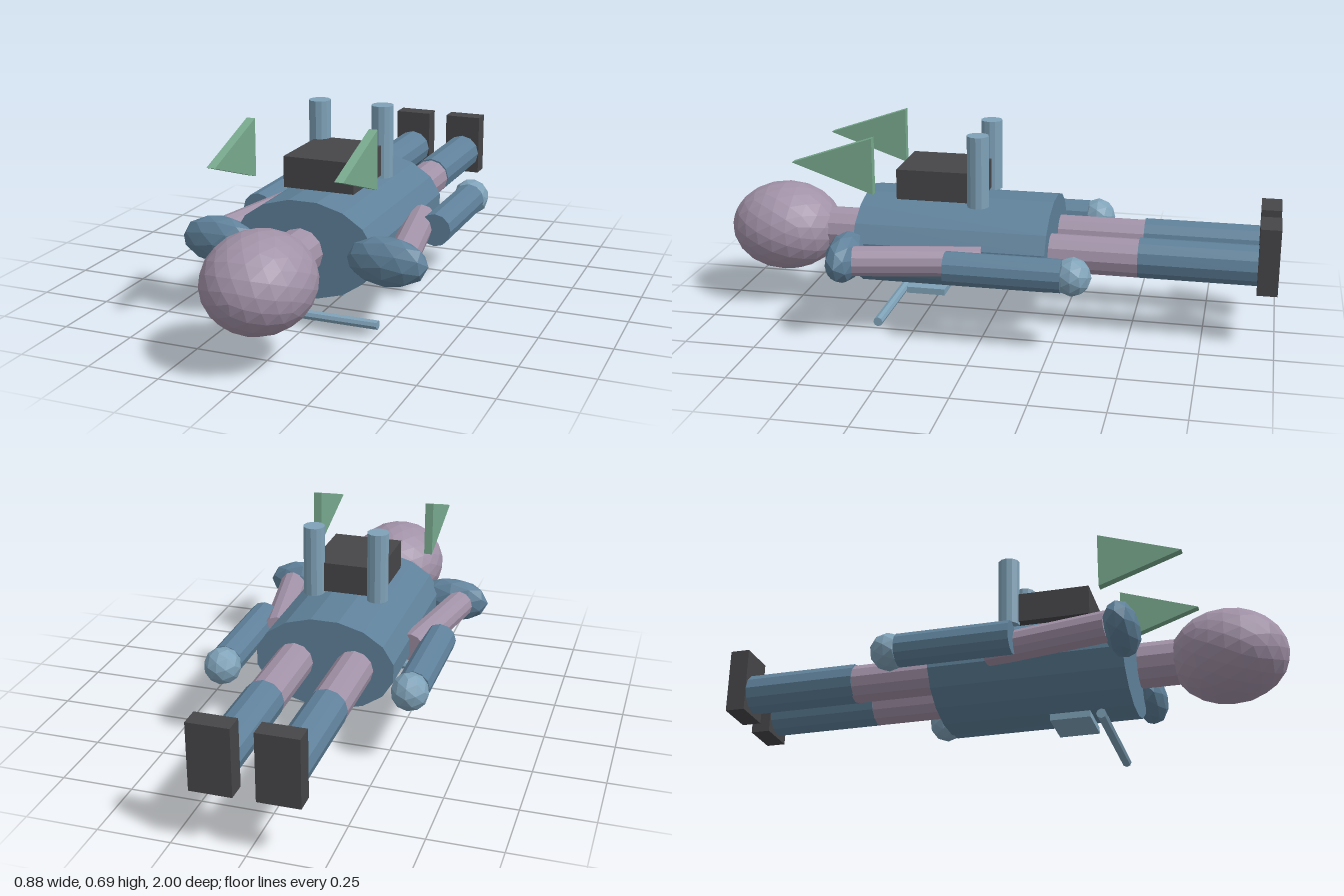
import * as THREE from 'three';

const mat = (color) => new THREE.MeshStandardMaterial({ color, flatShading: true });

export function createModel() {
  const model = new THREE.Group();
  const blue = mat(0x5f819a), lightBlue = mat(0x7fa2b8), skin = mat(0xa292a8);
  const dark = mat(0x464649), green = mat(0x78aa8e);

  const add = (name, geometry, material, x, y, z) => {
    const mesh = new THREE.Mesh(geometry, material);
    mesh.name = name;
    mesh.position.set(x, y, z);
    model.add(mesh);
    return mesh;
  };
  const box = (w, h, d) => new THREE.BoxGeometry(w, h, d);
  // Faceted ellipsoid with a vertex at each z pole
  const ball = (rx, ry, rz, detail) =>
    new THREE.IcosahedronGeometry(1, detail)
      .rotateX(Math.atan(2 / (1 + Math.sqrt(5)))).scale(rx, ry, rz);
  // Cylinder lying along z
  const rod = (r, length, sides = 12) =>
    new THREE.CylinderGeometry(r, r, length, sides).rotateX(Math.PI / 2);

  const midY = 0.28;

  // Head, neck and torso
  add('head', ball(0.182, 0.163, 0.205, 3), skin, 0, midY, 0.795);
  add('neck', rod(0.08, 0.16), skin, 0, midY, 0.565);
  const torso = new THREE.CylinderGeometry(1, 1, 0.68, 16)
    .rotateY(Math.PI / 16).rotateX(Math.PI / 2).scale(0.253, 0.169, 1);
  add('torso', torso, blue, 0, midY, 0.125);

  // Pack on the back
  add('backpack', box(0.254, 0.108, 0.298), dark, 0, 0.5, 0.186);

  // Triangular fin profile: u runs towards the head, v up
  const finShape = new THREE.Shape();
  finShape.moveTo(0.39, 0.49);
  finShape.lineTo(0.68, 0.59);
  finShape.lineTo(0.39, 0.69);
  finShape.closePath();
  const finGeometry = new THREE.ExtrudeGeometry(finShape, { depth: 0.03, bevelEnabled: false })
    .translate(0, 0, -0.015).rotateY(-Math.PI / 2);

  // Paired parts
  for (const s of [1, -1]) {
    const side = s > 0 ? 'left' : 'right';

    // Arm
    add(side + 'Shoulder', ball(0.14, 0.085, 0.062, 1), blue, s * 0.3, midY, 0.475);
    const upperArm = add(side + 'UpperArm', rod(0.053, 0.44), skin, s * 0.294, midY, 0.22);
    upperArm.rotation.y = s * 0.19;
    add(side + 'Forearm', rod(0.058, 0.4), blue, s * 0.337, midY, -0.09);
    add(side + 'Hand', ball(0.066, 0.067, 0.065, 1), lightBlue, s * 0.335, midY, -0.325);

    // Leg
    add(side + 'Thigh', rod(0.068, 0.33), skin, s * 0.109, midY, -0.365);
    add(side + 'Shin', rod(0.071, 0.405), blue, s * 0.109, midY + 0.003, -0.727);
    add(side + 'Foot', box(0.143, 0.235, 0.07), dark, s * 0.109, 0.318, -0.965);

    // Exhaust pipe and fin
    add(side + 'Pipe', new THREE.CylinderGeometry(0.039, 0.039, 0.255, 12),
      lightBlue, s * 0.118, 0.5625, 0.043);
    add(side + 'Fin', finGeometry, green, s * 0.218, 0, 0);
  }

  // Chest plate and cross bar below the torso
  add('chestPlate', box(0.162, 0.023, 0.142), lightBlue, 0, 0.0865, 0.248);
  const bar = new THREE.CylinderGeometry(0.017, 0.017, 0.47, 8).rotateZ(Math.PI / 2);
  add('crossBar', bar, lightBlue, 0, 0.017, 0.385);

  return model;
}
